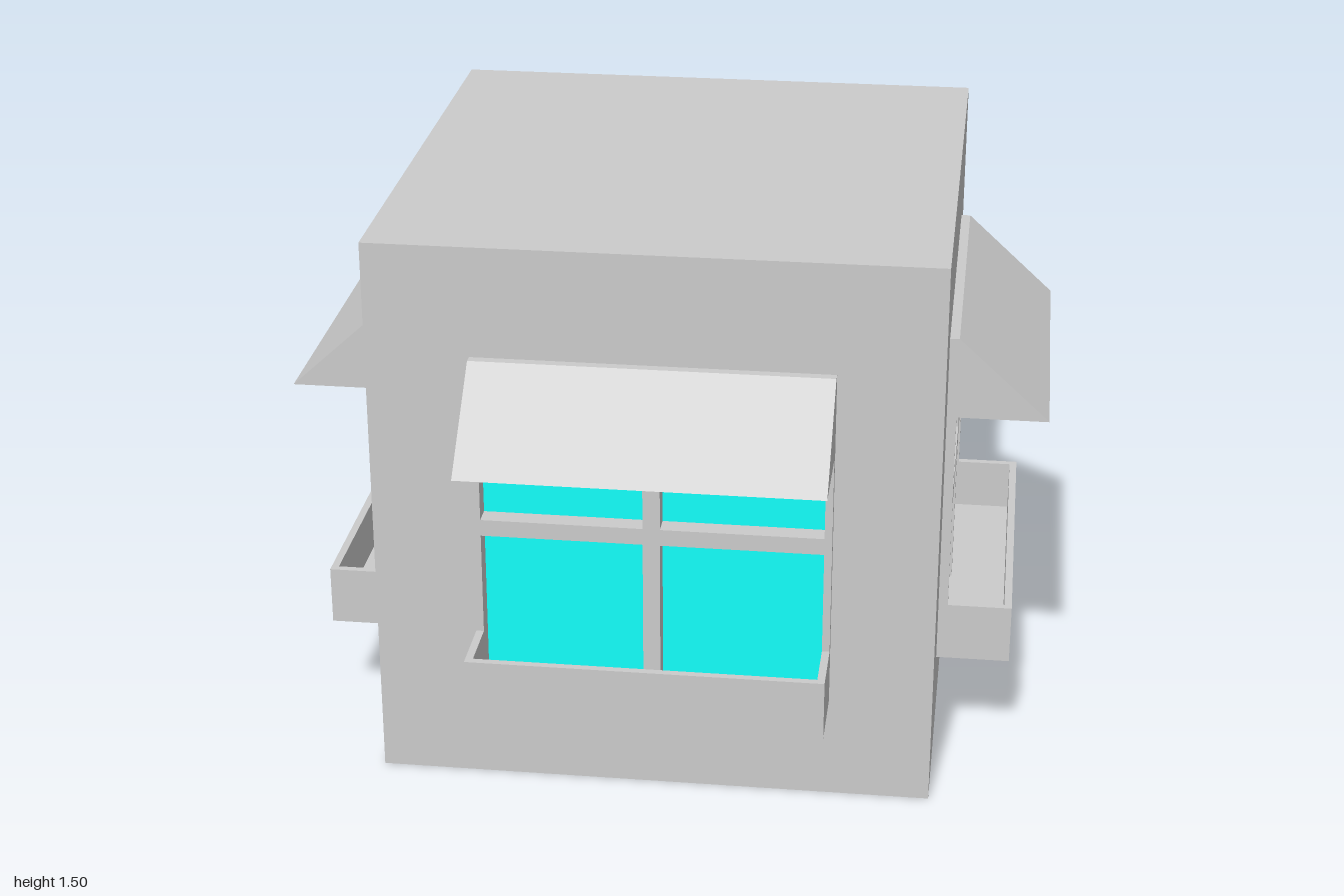
import * as THREE from 'three';

const W = 0.735, H = 1.505, CZ = -0.1325; // body half width, height, centre z
const HALF = 0.465, LOW = 0.28, HIGH = 1.21, T = 0.02; // window unit
const OUT = 0.025, IN = -0.03; // frame front and glass depth

const grey = new THREE.MeshStandardMaterial({ color: 0xcccccc, side: THREE.DoubleSide });
const cyan = new THREE.MeshStandardMaterial({ color: 0x12fffa, side: THREE.DoubleSide });

function mesh(name, geometry, material = grey) {
  const m = new THREE.Mesh(geometry, material);
  m.name = name;
  return m;
}

function poly(points, Type = THREE.Shape) {
  return new Type(points.map(([x, y]) => new THREE.Vector2(x, y)));
}

const rect = (x0, x1, y0, y1, Type) => poly([[x0, y0], [x1, y0], [x1, y1], [x0, y1]], Type);

// Extrudes an (outward, up) profile sideways, from x0 to x1
function sideways(profile, x0, x1) {
  return new THREE.ExtrudeGeometry(poly(profile), { depth: x1 - x0, bevelEnabled: false })
    .rotateY(-Math.PI / 2).translate(x1, 0, 0);
}

// Wall with a window: local z points outward, z = 0 is the wall face
function windowWall(name) {
  const g = new THREE.Group();
  g.name = name;

  const wall = rect(-W, W, 0, H);
  wall.holes.push(rect(-HALF, HALF, LOW, HIGH, THREE.Path));
  g.add(mesh('wall', new THREE.ShapeGeometry(wall)));

  // Frame with four panes
  const frame = rect(-HALF, HALF, LOW, HIGH);
  for (const [x0, x1] of [[-HALF + T, -0.0225], [0.0225, HALF - T]])
    for (const [y0, y1] of [[LOW + T, 0.72], [0.765, HIGH - T]])
      frame.holes.push(rect(x0, x1, y0, y1, THREE.Path));
  const frameGeo = new THREE.ExtrudeGeometry(frame, { depth: OUT - IN, bevelEnabled: false });
  g.add(mesh('windowFrame', frameGeo.translate(0, 0, IN)));

  const glass = new THREE.PlaneGeometry(2 * HALF, HIGH - LOW);
  g.add(mesh('glass', glass.translate(0, (LOW + HIGH) / 2, IN + 0.002), cyan));

  // Awning: sloping sheet, closed by triangular ends lined like the glass
  const tip = 0.265, eave = 0.99;
  g.add(mesh('awningSheet', sideways(
    [[OUT, HIGH], [OUT, HIGH - 0.015], [tip - 0.016, eave], [tip, eave]], -HALF, HALF)));
  const end = [[OUT, HIGH], [OUT, eave], [tip, eave]];
  const lining = [[OUT, HIGH - 0.02], [OUT, eave], [tip - 0.02, eave]];
  for (const s of [-1, 1]) {
    const a = s * HALF, b = s * (HALF - T / 2), c = s * (HALF - T);
    g.add(mesh('awningEnd', sideways(end, Math.min(a, b), Math.max(a, b))));
    g.add(mesh('awningLining', sideways(lining, Math.min(b, c), Math.max(b, c)), cyan));
  }

  // Flower box: open trough with closed ends
  const rim = 0.44, d = 0.195;
  g.add(mesh('flowerBox', sideways(
    [[0, LOW], [d, LOW], [d, rim], [d - T, rim], [d - T, LOW + T], [0, LOW + T]], -HALF, HALF)));
  for (const x0 of [-HALF, HALF - T])
    g.add(mesh('flowerBoxEnd', sideways([[0, LOW], [d, LOW], [d, rim], [0, rim]], x0, x0 + T)));
  return g;
}

export function createModel() {
  const root = new THREE.Group();
  root.name = 'buildingBlock';

  // Window walls on the front and both sides
  for (const [name, turn] of [['frontWall', 0], ['leftWall', 1], ['rightWall', -1]]) {
    const g = windowWall(name);
    g.rotation.y = turn * Math.PI / 2;
    g.position.set(turn * W, 0, turn ? CZ : CZ + W);
    root.add(g);
  }

  // Plain faces
  const back = mesh('backWall', new THREE.PlaneGeometry(2 * W, H).rotateY(Math.PI));
  back.position.set(0, H / 2, CZ - W);
  const roof = mesh('roof', new THREE.PlaneGeometry(2 * W, 2 * W).rotateX(-Math.PI / 2));
  roof.position.set(0, H, CZ);
  const base = mesh('base', new THREE.PlaneGeometry(2 * W, 2 * W).rotateX(Math.PI / 2));
  base.position.set(0, 0, CZ);
  root.add(back, roof, base);
  return root;
}
